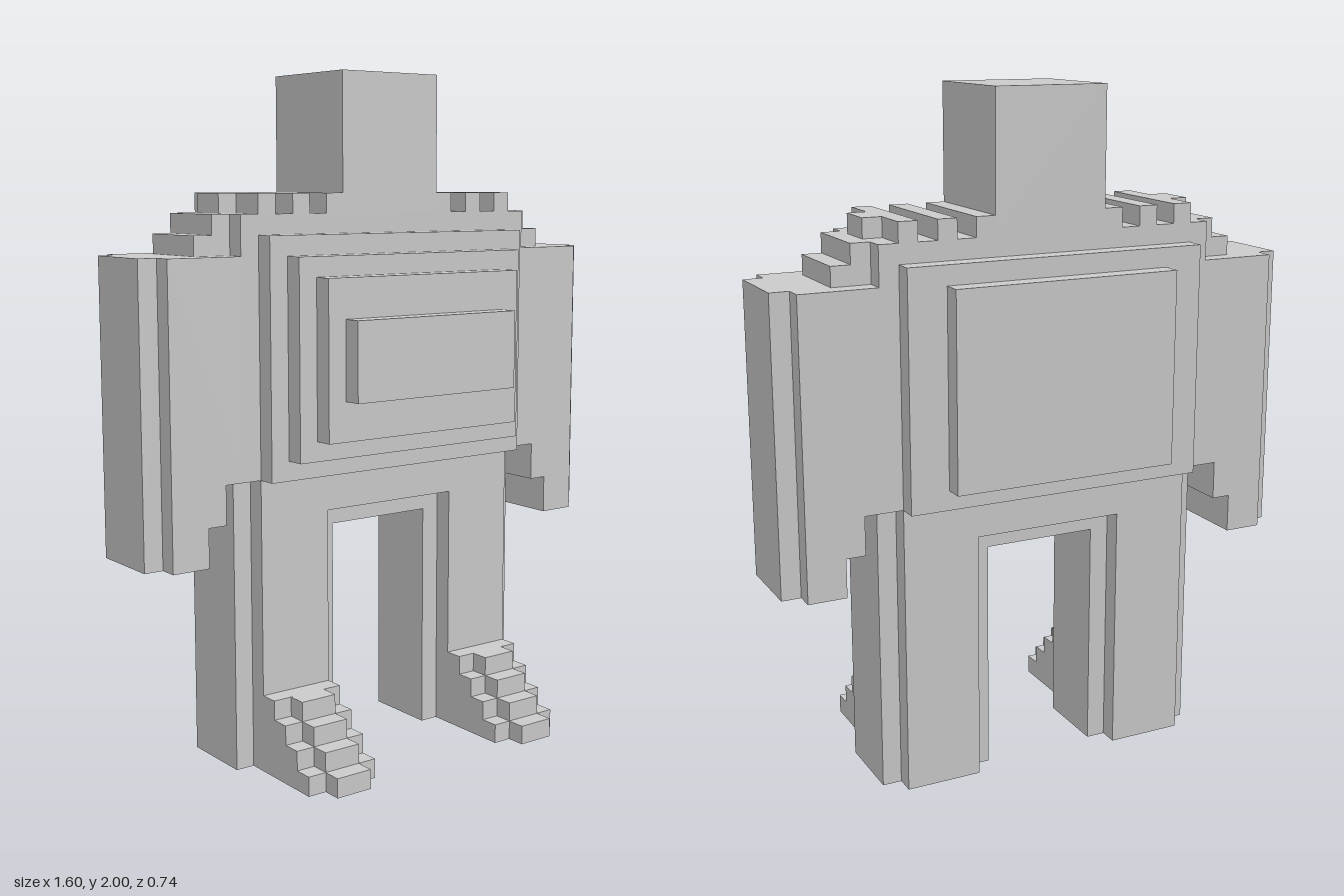
import * as THREE from 'three';

// One block of the stepped grid
const U = 2 / 35;
// Front and back of the main slab, and of its recessed rim
const F = 1.5, B = -4.5, FI = 0.5, BI = -3.5;

export function createModel() {
  const model = new THREE.Group();
  const material = new THREE.MeshStandardMaterial({ color: 0xcccccc, flatShading: true });

  // Box between grid limits
  function block(parent, name, x0, x1, y0, y1, z0, z1) {
    const geo = new THREE.BoxGeometry((x1 - x0) * U, (y1 - y0) * U, (z1 - z0) * U);
    const mesh = new THREE.Mesh(geo, material);
    mesh.name = name;
    mesh.position.set((x0 + x1) / 2 * U, (y0 + y1) / 2 * U, (z0 + z1) / 2 * U);
    parent.add(mesh);
  }

  // Outline in x and y, extruded from back to front
  function slab(parent, name, points, z0, z1) {
    const shape = new THREE.Shape(points.map(([x, y]) => new THREE.Vector2(x * U, y * U)));
    const geo = new THREE.ExtrudeGeometry(shape, { depth: (z1 - z0) * U, bevelEnabled: false });
    const mesh = new THREE.Mesh(geo, material);
    mesh.name = name;
    mesh.position.z = z0 * U;
    parent.add(mesh);
  }

  // Head and torso
  block(model, 'head', -3, 3, 28, 35, B, F);
  block(model, 'torso', -9, 9, 15, 28, B, F);

  // Stacked chest plates: half width, bottom, top
  [[8, 15, 27], [7, 16, 26], [6, 17, 25], [5, 19, 23]].forEach(([w, y0, y1], i) =>
    block(model, 'chestPlate' + (i + 1), -w, w, y0, y1, F + i, F + i + 1));

  // Stacked back plates
  block(model, 'backPlateLower', -8, 8, 15, 27, B - 1, B);
  block(model, 'backPlateUpper', -6, 6, 16, 26, B - 2, B - 1);

  // Hips and recessed crotch
  block(model, 'hips', -8, 8, 13, 15, B, F);
  block(model, 'crotch', -4, 4, 12, 13, BI, FI);

  for (const side of [1, -1]) {
    const label = side > 0 ? 'left' : 'right';
    const add = (group, name, x0, x1, ...rest) =>
      block(group, name, Math.min(side * x0, side * x1), Math.max(side * x0, side * x1), ...rest);

    // Shoulder ridges and steps
    const shoulder = new THREE.Group();
    shoulder.name = label + 'Shoulder';
    [[3, 4], [5, 6], [7, 8]].forEach(([a, b]) => add(shoulder, 'ridge', a, b, 28, 29, B, F));
    add(shoulder, 'ridgeTab', 8, 9, 28, 29, -2.5, -0.5);
    add(shoulder, 'upperStep', 9, 10, 27, 28, BI, FI);
    add(shoulder, 'lowerStep', 9, 11, 26, 27, BI, FI);

    // Arm with stepped underside and recessed outer rim
    const arm = new THREE.Group();
    arm.name = label + 'Arm';
    const outline = [[9, 26], [9, 15], [10, 15], [10, 13], [11, 13], [11, 11], [13, 11], [13, 26]];
    slab(arm, 'armBody', outline.map(([x, y]) => [side * x, y]), B, F);
    add(arm, 'armOuterRim', 13, 14, 11, 26, BI, FI);

    // Leg with recessed inner and outer rims
    const leg = new THREE.Group();
    leg.name = label + 'Leg';
    add(leg, 'legBody', 4, 8, 0, 13, B, F);
    add(leg, 'legOuterRim', 8, 9, 0, 15, BI, FI);
    add(leg, 'legInnerRim', 3, 4, 0, 12, BI, FI);

    // Foot as four steps, each with a tab in the middle
    const foot = new THREE.Group();
    foot.name = label + 'Foot';
    for (let i = 0; i < 4; i++) {
      add(foot, 'footStep', 4, 8, i, i + 1, F, 5.5 - i);
      add(foot, 'footTab', 5, 7, i, i + 1, 5.5 - i, 6.5 - i);
    }
    model.add(shoulder, arm, leg, foot);
  }
  return model;
}
